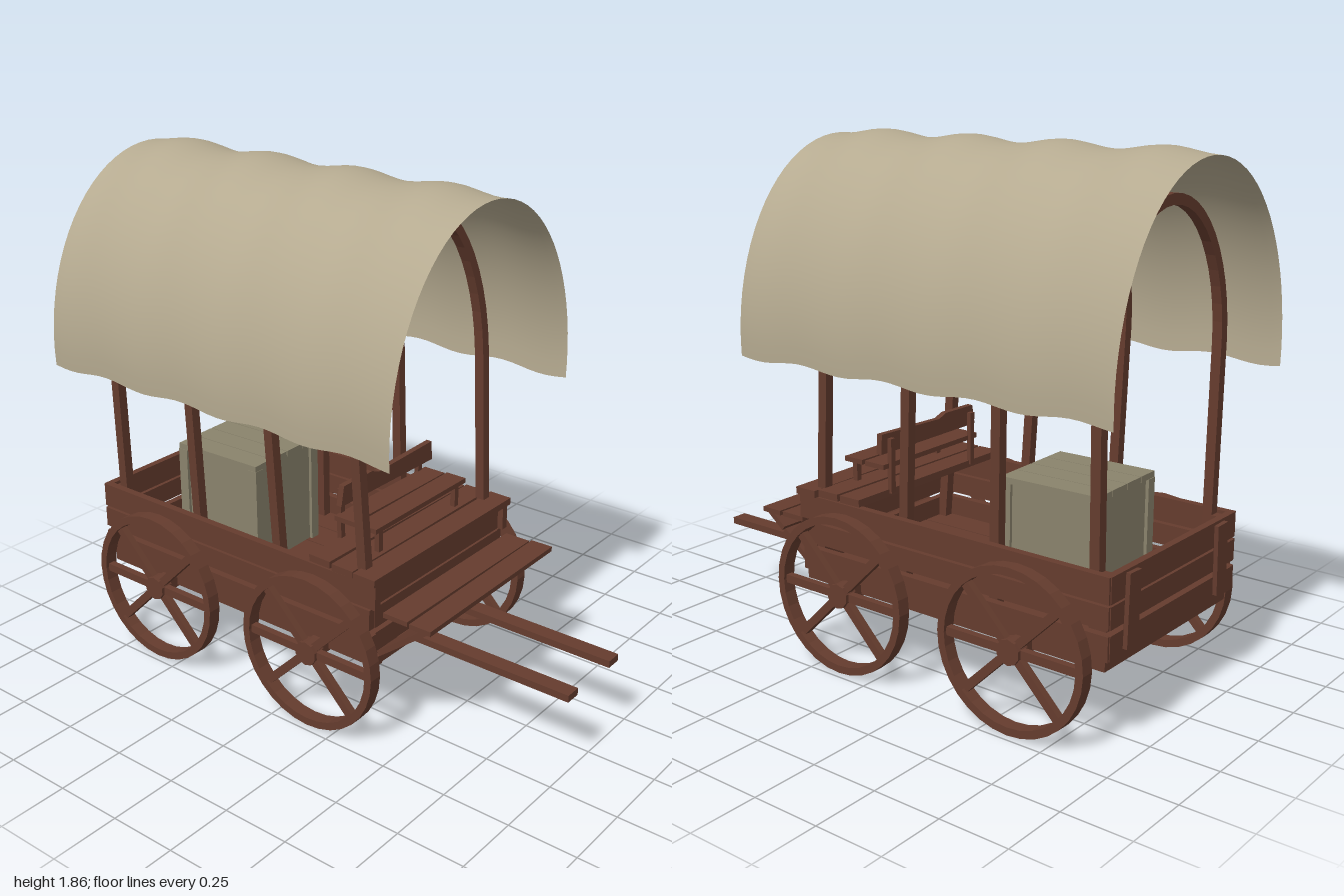
import * as THREE from 'three';

export function createModel() {
  const model = new THREE.Group();
  model.name = 'coveredWagon';
  const wood = new THREE.MeshStandardMaterial({ color: 0x653c2e, flatShading: true });
  wood.name = 'brown wood';
  const cloth = new THREE.MeshStandardMaterial({ color: 0xb5aa90, side: THREE.DoubleSide });
  cloth.name = 'canvas';
  const crateWood = new THREE.MeshStandardMaterial({ color: 0x8a836c, flatShading: true });
  crateWood.name = 'grey crate wood';

  // small seeded wobble for hand-cut timber
  let seed = 7;
  const wobble = (a) => {
    seed = (seed * 16807) % 2147483647;
    return (seed / 2147483647 - 0.5) * 2 * a;
  };

  const group = (name, parent = model) => {
    const g = new THREE.Group();
    g.name = name;
    parent.add(g);
    return g;
  };
  const add = (parent, name, geo, mat, x = 0, y = 0, z = 0) => {
    const m = new THREE.Mesh(geo, mat);
    m.name = name;
    m.position.set(x, y, z);
    parent.add(m);
    return m;
  };
  const box = (parent, name, w, h, d, x, y, z, mat = wood) =>
    add(parent, name, new THREE.BoxGeometry(w, h, d), mat, x, y, z);

  // bed floor: long planks on cross beams
  const bed = group('bed');
  for (let i = 0; i < 6; i++) {
    box(bed, 'floorPlank', 0.118, 0.022, 1.27 + wobble(0.015), -0.308 + i * 0.123, 0.322, -0.275);
  }
  for (const z of [0.33, -0.23, -0.87]) box(bed, 'crossBeam', 0.76, 0.034, 0.07, 0, 0.294, z);
  for (const s of [-1, 1]) box(bed, 'sillBeam', 0.04, 0.035, 1.27, s * 0.36, 0.294, -0.265);

  // walls: three planks high
  const rows = [[0.362, 0.085, 0.37], [0.463, 0.077, 0.36], [0.555, 0.09, 0.385]];
  for (const [y, h, front] of rows) {
    for (const s of [-1, 1]) {
      const plank = box(bed, 'sidePlank', 0.028, h, front + 0.925, s * 0.384, y, (front - 0.925) / 2);
      plank.rotation.x = wobble(0.002);
    }
    const back = box(bed, 'tailPlank', 0.78, h, 0.026, 0, y, -0.915);
    back.rotation.z = wobble(0.006);
    box(bed, 'frontPlank', 0.74, h, 0.026, 0, y, 0.35);
  }
  for (const s of [-1, 1]) {
    const cleat = box(bed, 'tailCleat', 0.065, 0.25, 0.018, s * 0.28, 0.465, -0.935);
    cleat.rotation.z = s * 0.03;
    box(bed, 'innerPost', 0.035, 0.27, 0.04, s * 0.35, 0.455, -0.88);
  }

  // driver's deck and sloping footboard
  const deck = group('driverDeck');
  for (const [z, w] of [[0.345, 0.825], [0.245, 0.8], [0.145, 0.79]]) {
    const p = box(deck, 'deckPlank', w, 0.026, 0.09, 0, 0.616, z);
    p.rotation.set(wobble(0.02), wobble(0.01), wobble(0.006));
  }
  box(deck, 'footrestPlank', 0.765, 0.018, 0.085, 0, 0.492, 0.553).rotation.y = 0.01;
  box(deck, 'footrestPlank', 0.75, 0.018, 0.1, 0, 0.49, 0.45);
  const footboard = group('footboard', deck);
  footboard.position.set(0, 0.415, 0.485);
  footboard.rotation.x = -0.66;
  box(footboard, 'footPlank', 0.74, 0.02, 0.1, 0, 0, 0.075);
  box(footboard, 'footPlank', 0.74, 0.02, 0.155, 0, 0, -0.06);
  box(footboard, 'footCleat', 0.07, 0.016, 0.17, 0.235, -0.016, -0.04);

  // bench
  const bench = group('bench');
  box(bench, 'seatPlank', 0.53, 0.018, 0.082, 0.005, 0.717, 0.24).rotation.z = 0.005;
  box(bench, 'seatPlank', 0.53, 0.018, 0.088, 0, 0.717, 0.147).rotation.z = -0.004;
  const backShape = new THREE.Shape();
  [[-0.26, 0.765], [0.27, 0.762], [0.265, 0.835], [-0.05, 0.825], [-0.09, 0.84], [-0.245, 0.838]]
    .forEach(([x, y], i) => (i ? backShape.lineTo(x, y) : backShape.moveTo(x, y)));
  add(bench, 'backrest', new THREE.ExtrudeGeometry(backShape, { depth: 0.022, bevelEnabled: false }), wood, 0, 0, 0.108);
  for (const s of [-1, 1]) {
    box(bench, 'backPost', 0.022, 0.2, 0.018, s * 0.225, 0.715, 0.1);
    box(bench, 'frontPost', 0.022, 0.09, 0.02, s * 0.225, 0.664, 0.265);
  }

  // hoops: straight legs joined by an elliptical arch, leaning back less toward the rear
  const hoopGeometry = (top) => {
    const t = 0.018;
    const edge = (o) => {
      const pts = [[0.345 + o, 0], [0.363 + o, 0.87]];
      for (let i = 1; i < 24; i++) {
        const a = (i / 24) * Math.PI;
        pts.push([(0.363 + o) * Math.cos(a), 0.87 + (top - 0.33 - 0.87 - t + o) * Math.sin(a)]);
      }
      pts.push([-0.363 - o, 0.87], [-0.345 - o, 0]);
      return pts.map(([x, y]) => new THREE.Vector2(x, y));
    };
    const shape = new THREE.Shape([...edge(t), ...edge(-t).reverse()]);
    return new THREE.ExtrudeGeometry(shape, { depth: 0.036, bevelEnabled: false }).translate(0, 0, -0.018);
  };
  const hoops = group('hoops');
  for (const [z, lean, top] of [[0.322, 0.058, 1.795], [-0.064, 0.046, 1.77], [-0.457, 0.022, 1.745], [-0.85, 0, 1.72]]) {
    add(hoops, 'hoop', hoopGeometry(top), wood, 0, 0.33, z).rotation.x = -lean;
  }

  // canvas cover: sheet bent over the hoops with soft ripples
  const sheet = new THREE.PlaneGeometry(1, 1, 40, 40);
  const p = sheet.attributes.position;
  for (let i = 0; i < p.count; i++) {
    const u = p.getX(i) + 0.5, v = p.getY(i) + 0.5;
    const z = 0.53 - v * 1.53;
    const a = -0.09 + (1 - u) * (Math.PI + 0.18);
    const crown = Math.max(0, Math.sin(a));
    const ripple = 0.011 * Math.sin(z * 16.5 + 2.6 + Math.cos(a) * 1.2) * (0.35 + 0.65 * crown);
    const hem = 0.009 * Math.cos(z * 17 + u * 2) * (1 - crown);
    p.setXYZ(i, (0.521 + ripple * 0.25) * Math.cos(a), 1.165 + (0.688 + ripple) * Math.sin(a) + hem, z);
  }
  sheet.computeVertexNormals();
  add(model, 'canvasCover', sheet, cloth);

  // wheels and axles
  const rim = () => {
    const ring = new THREE.Shape().absarc(0, 0, 0.288, 0, Math.PI * 2);
    ring.holes.push(new THREE.Path().absarc(0, 0, 0.26, 0, Math.PI * 2, true));
    return new THREE.ExtrudeGeometry(ring, { depth: 0.05, bevelEnabled: false, curveSegments: 16 }).translate(0, 0, -0.025);
  };
  for (const z of [0.14, -0.6]) {
    box(model, 'axle', 0.88, 0.05, 0.055, 0, 0.293, z);
    for (const s of [-1, 1]) {
      const wheel = group('wheel');
      wheel.position.set(s * 0.45, 0.29, z);
      wheel.rotation.y = Math.PI / 2;
      add(wheel, 'rim', rim(), wood);
      const hub = add(wheel, 'hub', new THREE.CylinderGeometry(0.045, 0.045, 0.05, 10), wood);
      hub.rotation.x = Math.PI / 2;
      for (const deg of [0, 45, 135, 180, 225, 315]) {
        const a = THREE.MathUtils.degToRad(deg);
        const spoke = box(wheel, 'spoke', 0.235, 0.03, 0.026, 0.15 * Math.cos(a), 0.15 * Math.sin(a), 0);
        spoke.rotation.z = a;
      }
    }
  }

  // draw shafts
  for (const s of [-1, 1]) box(model, 'drawShaft', 0.06, 0.026, 1.1, s * 0.134, 0.297, 0.45);
  box(model, 'shaftBrace', 0.34, 0.024, 0.06, 0, 0.275, -0.04);

  // crate with slatted lid and corner battens
  const crate = group('crate');
  crate.position.set(-0.005, 0.334, -0.535);
  crate.rotation.y = 0.03;
  box(crate, 'crateBody', 0.34, 0.4, 0.36, 0, 0.2, 0, crateWood);
  for (let i = 0; i < 4; i++) {
    box(crate, 'lidSlat', 0.088, 0.022, 0.38, -0.137 + i * 0.0915, 0.411, 0, crateWood);
  }
  for (const sx of [-1, 1]) for (const sz of [-1, 1]) {
    box(crate, 'cornerBatten', 0.04, 0.4, 0.04, sx * 0.162, 0.2, sz * 0.172, crateWood);
  }
  return model;
}
